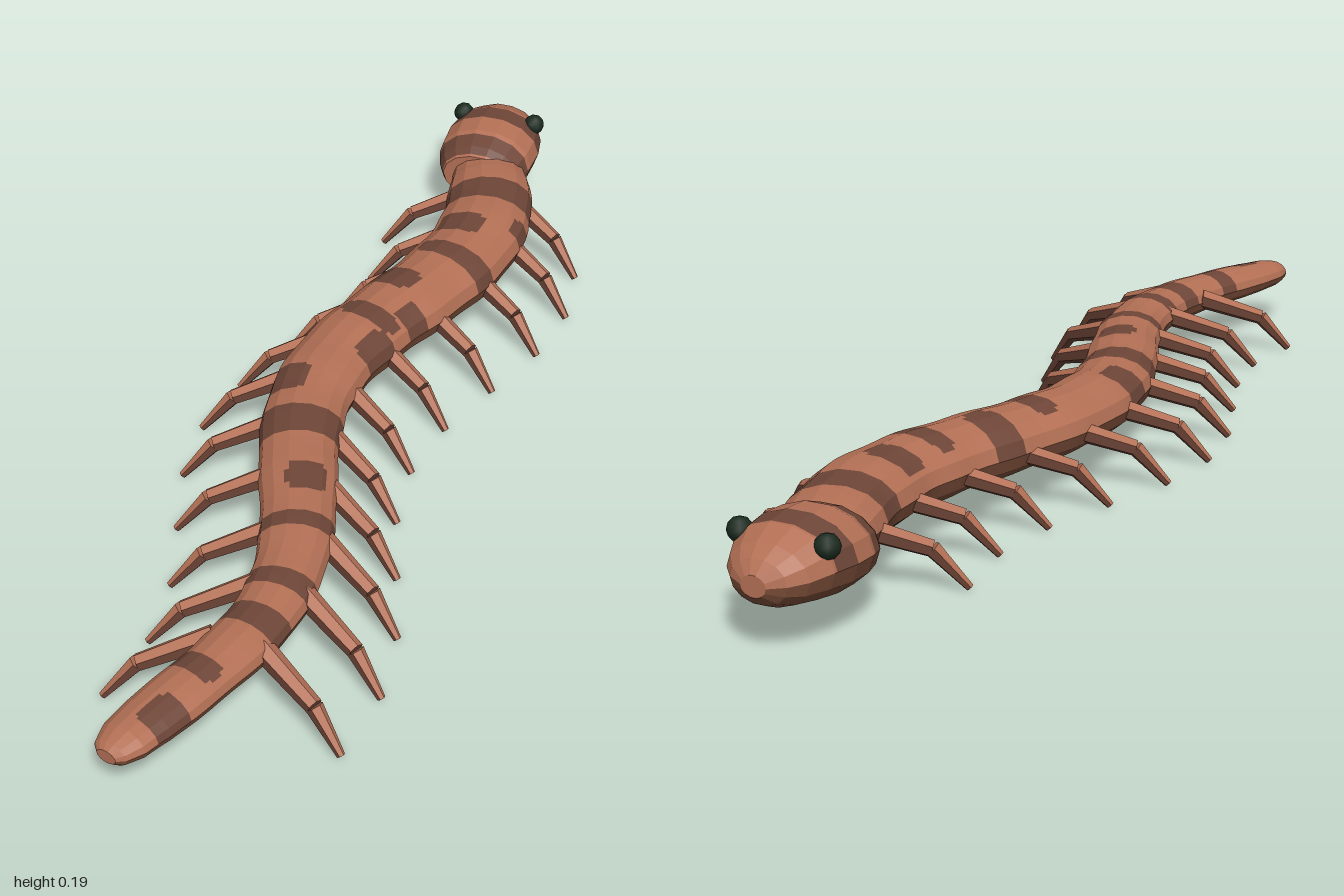
import * as THREE from 'three';

function makeMaterial(name, color) {
  const m = new THREE.MeshStandardMaterial({ color });
  m.name = name;
  return m;
}
const skin = makeMaterial('terracotta skin', 0xb37055);
const band = makeMaterial('brown bands', 0x6e4638);
const belly = makeMaterial('brown underside', 0x7c4e39);
const legShade = makeMaterial('dark leg underside', 0x6a4235);
const eyeMat = makeMaterial('dark green eyes', 0x1a2a1e);

// Sideways wave of the body and its slope
const K = Math.PI / 0.563;
const sway = z => 0.067 * Math.cos((z + 0.555) * K);
const swaySlope = z => -0.067 * K * Math.sin((z + 0.555) * K);

// Profiles: [z, half width, half height, centre y]
const bodyProfile = [
  [-0.82, 0.07, 0.046, 0.11], [-0.74, 0.082, 0.055, 0.11], [-0.6, 0.09, 0.059, 0.109],
  [-0.4, 0.088, 0.058, 0.108], [-0.2, 0.084, 0.055, 0.108], [0, 0.078, 0.052, 0.108],
  [0.2, 0.071, 0.047, 0.108], [0.4, 0.064, 0.043, 0.108], [0.6, 0.057, 0.038, 0.108],
  [0.8, 0.052, 0.034, 0.109], [0.9, 0.051, 0.031, 0.109], [0.95, 0.044, 0.027, 0.109],
  [0.98, 0.031, 0.02, 0.109], [0.99, 0.018, 0.012, 0.109],
];
const headProfile = [
  [-1, 0.022, 0.018, 0.122], [-0.985, 0.05, 0.037, 0.124], [-0.96, 0.072, 0.051, 0.126],
  [-0.92, 0.091, 0.063, 0.13], [-0.87, 0.1, 0.069, 0.127], [-0.82, 0.098, 0.069, 0.123],
  [-0.78, 0.085, 0.06, 0.116], [-0.76, 0.072, 0.049, 0.113],
];

// Rounded markings: [z start, z end, from, to] across the back (-1 right, 1 left)
const bodyMarks = [
  [-0.69, -0.62, -3, 3], [-0.55, -0.485, -0.85, 0.2], [-0.585, -0.54, 0.7, 1.3],
  [-0.435, -0.39, -0.7, 1.5], [-0.32, -0.26, -1.2, 0.2], [-0.25, -0.2, 0.5, 1.3],
  [-0.195, -0.15, -0.6, 0.8], [-0.15, -0.06, 0.5, 1.4], [0.015, 0.085, -1.3, 0],
  [0.13, 0.2, -3, 3], [0.28, 0.345, -0.3, 0.75], [0.4, 0.435, -3, 3], [0.54, 0.58, -3, 3],
  [0.63, 0.68, -3, 3], [0.77, 0.81, -1.5, 0.7], [0.86, 0.925, -0.1, 1.2],
];
const headMarks = [[-0.915, -0.868, -3, 3], [-0.81, -0.765, -3, 3]];

const inMark = (z, u) => ([z0, z1, u0, u1]) =>
  ((2 * z - z0 - z1) / (z1 - z0)) ** 4 + ((2 * u - u0 - u1) / (u1 - u0)) ** 4 < 1;

function sample(profile, z) {
  let i = 0;
  while (i < profile.length - 2 && z > profile[i + 1][0]) i++;
  const a = profile[i], b = profile[i + 1], t = (z - a[0]) / (b[0] - a[0]);
  return a.map((v, k) => v + (b[k] - v) * t);
}

// Flat-shaded mesh from one list of triangle corners per material
function facetMesh(lists, materials, name) {
  const geo = new THREE.BufferGeometry();
  geo.setAttribute('position', new THREE.Float32BufferAttribute(lists.flat(), 3));
  let start = 0;
  lists.forEach((list, i) => {
    geo.addGroup(start, list.length / 3, i);
    start += list.length / 3;
  });
  geo.computeVertexNormals();
  const mesh = new THREE.Mesh(geo, materials);
  mesh.name = name;
  return mesh;
}

// Fourteen-sided tube along z; each side is split in three so markings get rounded edges
const SIDES = 14, SPLIT = 3, COLS = SIDES * SPLIT;
const polygon = Array.from({ length: COLS }, (_, j) => {
  const i = Math.floor(j / SPLIT), t = (j % SPLIT) / SPLIT, step = Math.PI * 2 / SIDES;
  const mix = f => f(i * step) * (1 - t) + f((i + 1) * step) * t;
  return [mix(Math.cos), mix(Math.sin)];
});

function loft(profile, marks, step, curved, name) {
  const zs = [...profile.map(p => p[0]), ...marks.flatMap(m => [m[0], m[1]])];
  for (let z = zs[0] + step; z < profile.at(-1)[0]; z += step) zs.push(z);
  zs.sort((a, b) => a - b);
  const cuts = zs.filter((z, i) => i === 0 || z - zs[i - 1] > 1e-4);

  const rings = cuts.map(z => {
    const [, w, h, cy] = sample(profile, z);
    const s = curved ? swaySlope(z) : 0, n = Math.hypot(1, s);
    const cx = curved ? sway(z) : 0;
    const swell = curved ? 1 + 0.02 * Math.cos((z + 0.7) * Math.PI * 2 / 0.14) : 1;
    return polygon.map(([px, py]) => {
      const d = w * swell * px;
      return [cx + d / n, cy + h * swell * py, z - d * s / n];
    });
  });

  const lists = [[], [], []];
  for (let i = 0; i < rings.length - 1; i++) {
    const zm = (cuts[i] + cuts[i + 1]) / 2;
    for (let j = 0; j < COLS; j++) {
      const k = (j + 1) % COLS;
      const u = (polygon[j][0] + polygon[k][0]) / 2, v = polygon[j][1] + polygon[k][1];
      const slot = v < 0 ? 2 : marks.some(inMark(zm, u)) ? 1 : 0;
      const [p, q, r, s] = [rings[i][j], rings[i][k], rings[i + 1][k], rings[i + 1][j]];
      lists[slot].push(...p, ...q, ...r, ...p, ...r, ...s);
    }
  }
  // End caps
  const first = rings[0], last = rings.at(-1);
  for (let j = SPLIT; j < COLS - SPLIT; j += SPLIT) {
    lists[0].push(...first[0], ...first[j + SPLIT], ...first[j]);
    lists[0].push(...last[0], ...last[j], ...last[j + SPLIT]);
  }
  return facetMesh(lists, [skin, band, belly], name);
}

// Tapered six-sided limb between two points, dark on the faces that do not point up
function limb(a, b, ra, rb, name) {
  const dir = b.clone().sub(a);
  const geo = new THREE.CylinderGeometry(rb, ra, dir.length(), 6).toNonIndexed();
  const mid = a.clone().add(b).multiplyScalar(0.5);
  geo.applyQuaternion(new THREE.Quaternion().setFromUnitVectors(new THREE.Vector3(0, 1, 0), dir.normalize()));
  geo.translate(mid.x, mid.y, mid.z);
  geo.computeVertexNormals();
  const { position, normal } = geo.attributes;
  const lists = [[], []];
  for (let i = 0; i < position.count; i += 3) {
    lists[normal.getY(i) < 0.15 ? 1 : 0].push(...position.array.slice(i * 3, i * 3 + 9));
  }
  return facetMesh(lists, [skin, legShade], name);
}

export function createModel() {
  const model = new THREE.Group();
  model.name = 'centipede';

  model.add(
    loft(bodyProfile, bodyMarks, 0.01, true, 'body'),
    loft(headProfile, headMarks, 0.04, false, 'head'),
  );

  // Eleven pairs of legs
  for (let i = 0; i < 11; i++) {
    const foot = -0.624 + i * 0.1403, cx = sway(foot - 0.07);
    for (const side of [-1, 1]) {
      const at = (d, y, back) => new THREE.Vector3(cx + side * d, y, foot - back);
      const leg = new THREE.Group();
      leg.name = side > 0 ? 'leftLeg' : 'rightLeg';
      const hip = at(0.04, 0.113, 0.085), knee = at(0.15, 0.072, 0.027), toe = at(0.203, 0.006, 0.002);
      leg.add(limb(hip, knee, 0.02, 0.015, 'upperLeg'), limb(knee, toe, 0.015, 0.007, 'lowerLeg'));
      model.add(leg);
    }
  }

  // Eyes
  for (const side of [-1, 1]) {
    const eye = new THREE.Mesh(new THREE.IcosahedronGeometry(0.021, 1), eyeMat);
    eye.position.set(side * 0.076, 0.168, -0.915);
    eye.name = side > 0 ? 'leftEye' : 'rightEye';
    model.add(eye);
  }
  return model;
}
